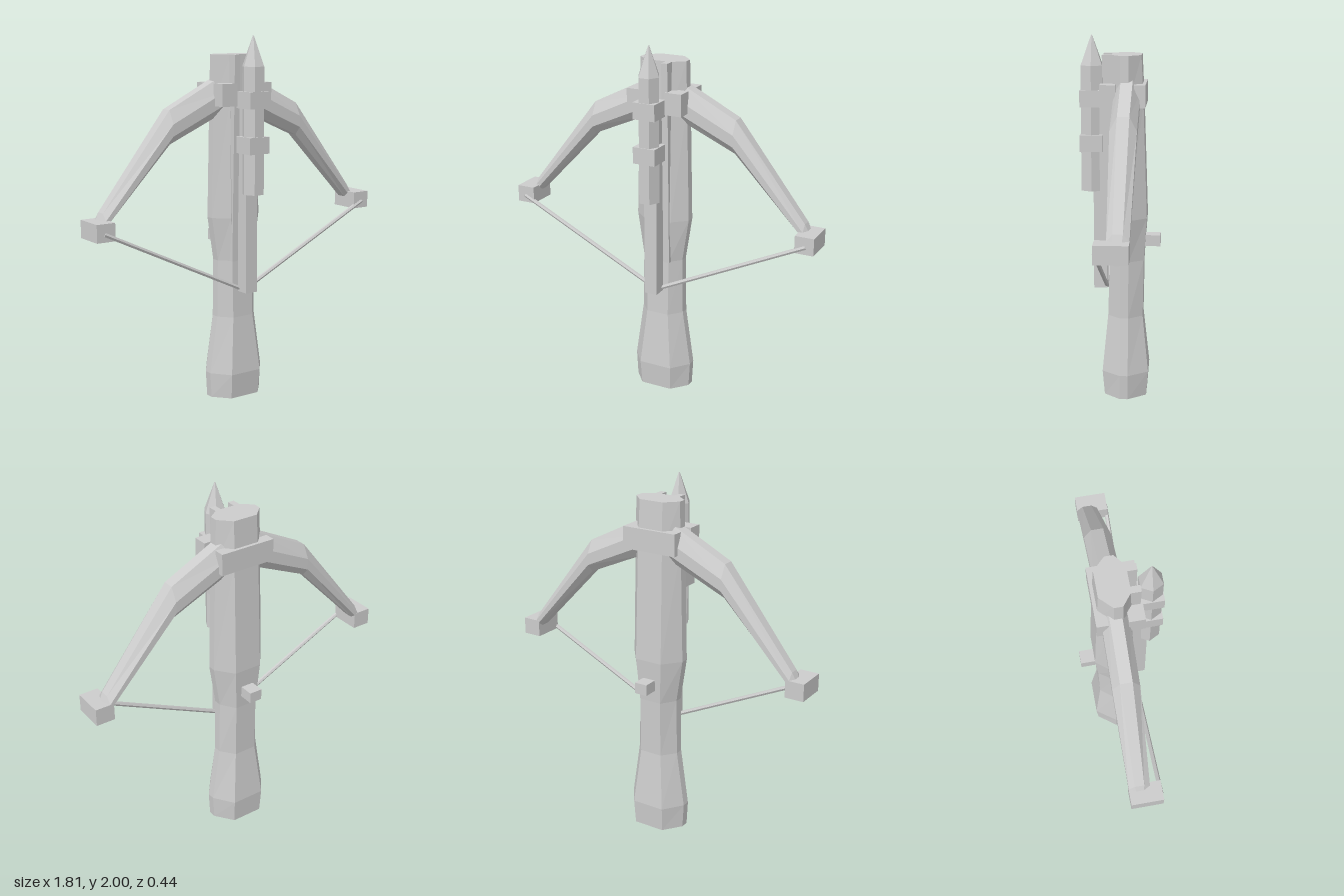
import * as THREE from 'three';

// Flat-shaded skin through a list of cross-section rings, with closed ends
function loft(rings) {
  const pos = [];
  const tri = (...pts) => pts.forEach((p) => pos.push(...p));
  const n = rings[0].length;
  for (let i = 0; i < rings.length - 1; i++) {
    for (let j = 0; j < n; j++) {
      const k = (j + 1) % n, lo = rings[i], hi = rings[i + 1];
      tri(lo[j], lo[k], hi[k]);
      tri(lo[j], hi[k], hi[j]);
    }
  }
  const first = rings[0], last = rings[rings.length - 1];
  for (let j = 1; j < n - 1; j++) {
    tri(first[0], first[j + 1], first[j]);
    tri(last[0], last[j], last[j + 1]);
  }
  const g = new THREE.BufferGeometry();
  g.setAttribute('position', new THREE.Float32BufferAttribute(pos, 3));
  g.computeVertexNormals();
  return g;
}

export function createModel() {
  const model = new THREE.Group();
  model.name = 'crossbow';
  const grey = new THREE.MeshStandardMaterial({ color: 0xcccccc, flatShading: true });
  grey.name = 'plain grey';

  const add = (name, geometry) => {
    const mesh = new THREE.Mesh(geometry, grey);
    mesh.name = name;
    model.add(mesh);
    return mesh;
  };
  // Box given by its extents on each axis
  const box = (name, x0, x1, y0, y1, z0, z1) =>
    add(name, new THREE.BoxGeometry(x1 - x0, y1 - y0, z1 - z0))
      .position.set((x0 + x1) / 2, (y0 + y1) / 2, (z0 + z1) / 2);

  // Eight-sided stock: height, half width, half width of flats, front z, back z
  const stock = [
    [0, 0.165, 0.09, 0.088, -0.145],
    [0.14, 0.173, 0.095, 0.1, -0.155],
    [0.46, 0.125, 0.065, 0.07, -0.122],
    [0.78, 0.12, 0.065, 0.06, -0.127],
    [1.02, 0.157, 0.08, 0.07, -0.143],
    [1.65, 0.142, 0.075, 0.055, -0.122],
    [1.9, 0.135, 0.07, 0.05, -0.11],
  ].map(([y, w, f, front, back]) => [
    [w, y, 0], [w, y, -0.045], [f, y, back], [-f, y, back],
    [-w, y, -0.045], [-w, y, 0], [-f, y, front], [f, y, front],
  ]);
  add('stock', loft(stock));

  // Bow limbs in one sweep: x, y, half height, half depth
  const half = [
    [0.1, 1.68, 0.1, 0.07],
    [0.42, 1.53, 0.09, 0.07],
    [0.82, 1.07, 0.045, 0.056],
    [0.88, 0.985, 0.012, 0.02],
  ];
  const stations = [...half.map(([x, ...r]) => [-x, ...r]).reverse(), ...half];
  add('bowLimbs', loft(stations.map(([x, y, h, d]) => [
    [1, -0.45], [1, 0.45], [0.2, 1], [-0.5, 1],
    [-1, 0.45], [-1, -0.45], [-0.5, -1], [0.2, -1],
  ].map(([u, v]) => [x, y + u * h, -0.035 + v * d]))));

  // Bracket clamping the limbs to the stock
  box('rearBracket', -0.16, 0.16, 1.63, 1.75, -0.135, -0.075);

  for (const s of [-1, 1]) {
    const span = (a, b) => (s > 0 ? [a, b] : [-b, -a]);
    box('frontBracket', ...span(0.065, 0.16), 1.63, 1.75, 0.025, 0.108);
    box('limbTipBlock', ...span(0.8, 0.905), 0.985, 1.08, -0.092, 0.08);

    // Rails beside the groove, leaning slightly forward
    const [x0, x1] = span(0.04, 0.075);
    add('rail', loft([[0.78, 0.075], [1.9, 0.1]].map(([y, z]) => [
      [x1, y, z], [x1, y, 0.03], [x0, y, 0.03], [x0, y, z],
    ])));

    // Bowstring
    const tip = new THREE.Vector3(s * 0.86, 1.025, 0.075);
    const nock = new THREE.Vector3(0, 0.612, 0.08);
    const dir = tip.clone().sub(nock);
    const string = add('bowstring', new THREE.CylinderGeometry(0.012, 0.012, dir.length(), 6));
    string.position.copy(tip).add(nock).multiplyScalar(0.5);
    string.quaternion.setFromUnitVectors(new THREE.Vector3(0, 1, 0), dir.normalize());
  }

  // Slide that holds the string
  box('slide', -0.037, 0.037, 0.61, 1.62, 0.075, 0.15);

  // Six-sided bolt with pointed head and two square collars
  const hex = (name, top, y0, y1) => {
    const g = new THREE.CylinderGeometry(top, 0.06, y1 - y0, 6);
    g.rotateY(Math.PI / 6); // points to the sides, flats front and back
    g.scale(1, 1, 1.1);
    add(name, g).position.set(0, (y0 + y1) / 2, 0.16);
  };
  hex('boltShaft', 0.06, 1.16, 1.84);
  hex('boltHead', 0.003, 1.84, 2);
  for (const y of [1.38, 1.62]) box('boltCollar', -0.064, 0.064, y, y + 0.09, 0.1, 0.222);

  // Trigger
  box('trigger', -0.037, 0.037, 0.853, 0.915, -0.217, -0.1);

  return model;
}
